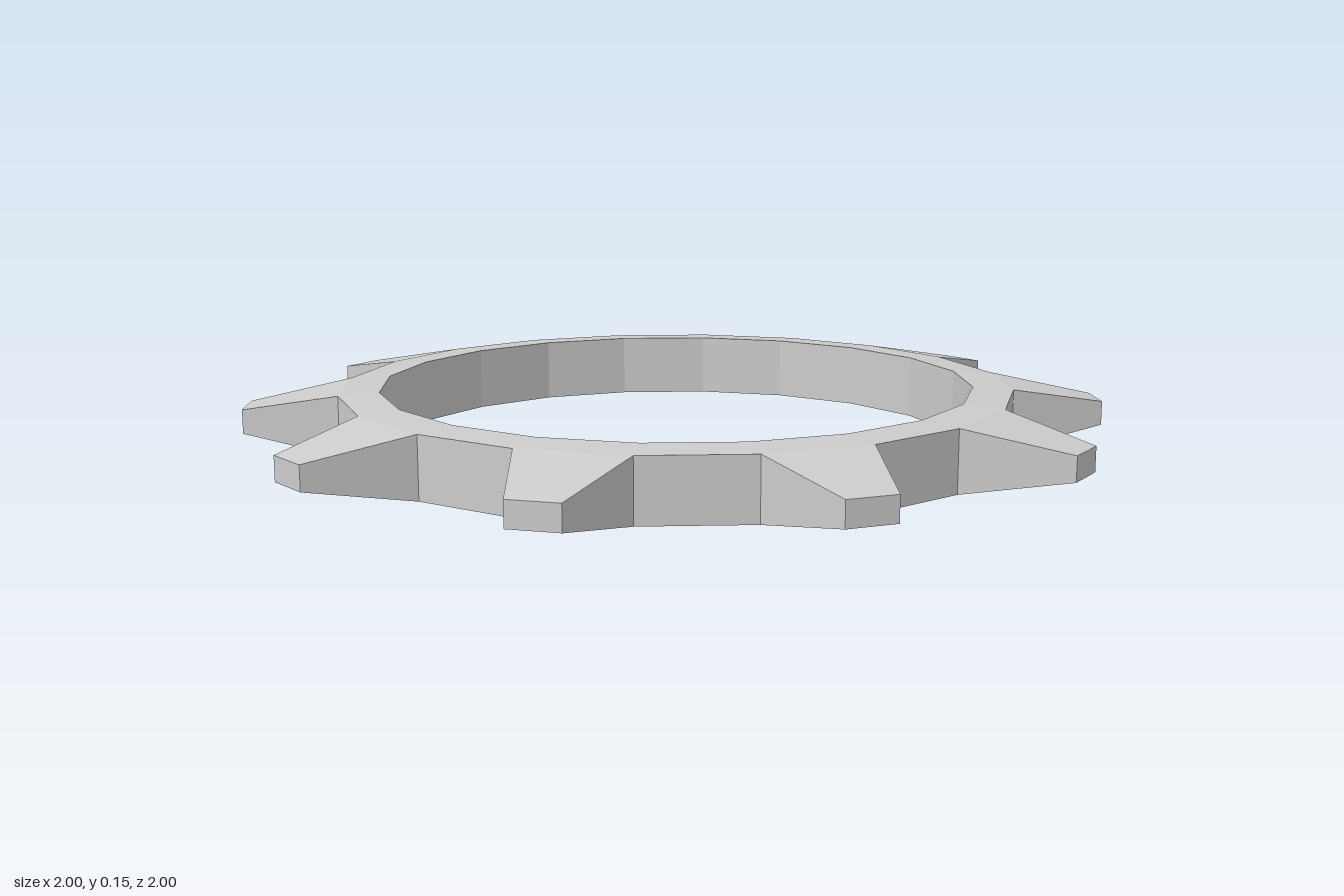
import * as THREE from 'three';

const TEETH = 10;
const MID = 0.075; // height of the middle plane
// radius and half thickness at the bore, the tooth root and the tooth tip
const BORE = { r: 0.69, h: 0.075 };
const ROOT = { r: 0.783, h: 0.07 };
const TIP = { r: 1.004, h: 0.028 };

// Point on a ring at an angle in degrees; side is 1 for the top, -1 for the bottom
function point(ring, deg, side) {
  const a = THREE.MathUtils.degToRad(deg);
  return [ring.r * Math.cos(a), MID + side * ring.h, ring.r * Math.sin(a)];
}

// Flat-shaded mesh from four-cornered faces
function facesMesh(name, quads, material) {
  const positions = quads.flatMap(([a, b, c, d]) => [...a, ...b, ...c, ...a, ...c, ...d]);
  const geometry = new THREE.BufferGeometry();
  geometry.setAttribute('position', new THREE.Float32BufferAttribute(positions, 3));
  geometry.computeVertexNormals();
  const mesh = new THREE.Mesh(geometry, material);
  mesh.name = name;
  return mesh;
}

// Top and bottom faces between an inner and an outer edge
function caps(inner, i0, i1, outer, o0, o1) {
  const corners = (s) => [point(inner, i0, s), point(inner, i1, s), point(outer, o1, s), point(outer, o0, s)];
  return [corners(1), corners(-1).reverse()];
}

// Upright wall from one edge to the next
function wall(ringA, a, ringB, b) {
  return [point(ringA, a, -1), point(ringA, a, 1), point(ringB, b, 1), point(ringB, b, -1)];
}

export function createModel() {
  const model = new THREE.Group();
  model.name = 'gearRing';
  const material = new THREE.MeshStandardMaterial({ color: 0xcccccc, flatShading: true });
  const step = 180 / TEETH;
  const ring = [];
  const teeth = [];

  for (let i = 0; i < TEETH * 2; i++) {
    const a = i * step;
    const b = a + step;

    // Ring segment with its bore wall
    ring.push(...caps(BORE, a, b, ROOT, a, b), wall(BORE, b, BORE, a));

    if (i % 2) {
      // Gap between two teeth
      ring.push(wall(ROOT, a, ROOT, b));
    } else {
      // Tapered tooth: two flanks and a blunt tip
      const t0 = a + 5.8;
      const t1 = b - 5.8;
      teeth.push(
        ...caps(ROOT, a, b, TIP, t0, t1),
        wall(ROOT, a, TIP, t0),
        wall(TIP, t0, TIP, t1),
        wall(TIP, t1, ROOT, b),
      );
    }
  }

  model.add(facesMesh('ring', ring, material), facesMesh('teeth', teeth, material));
  return model;
}
